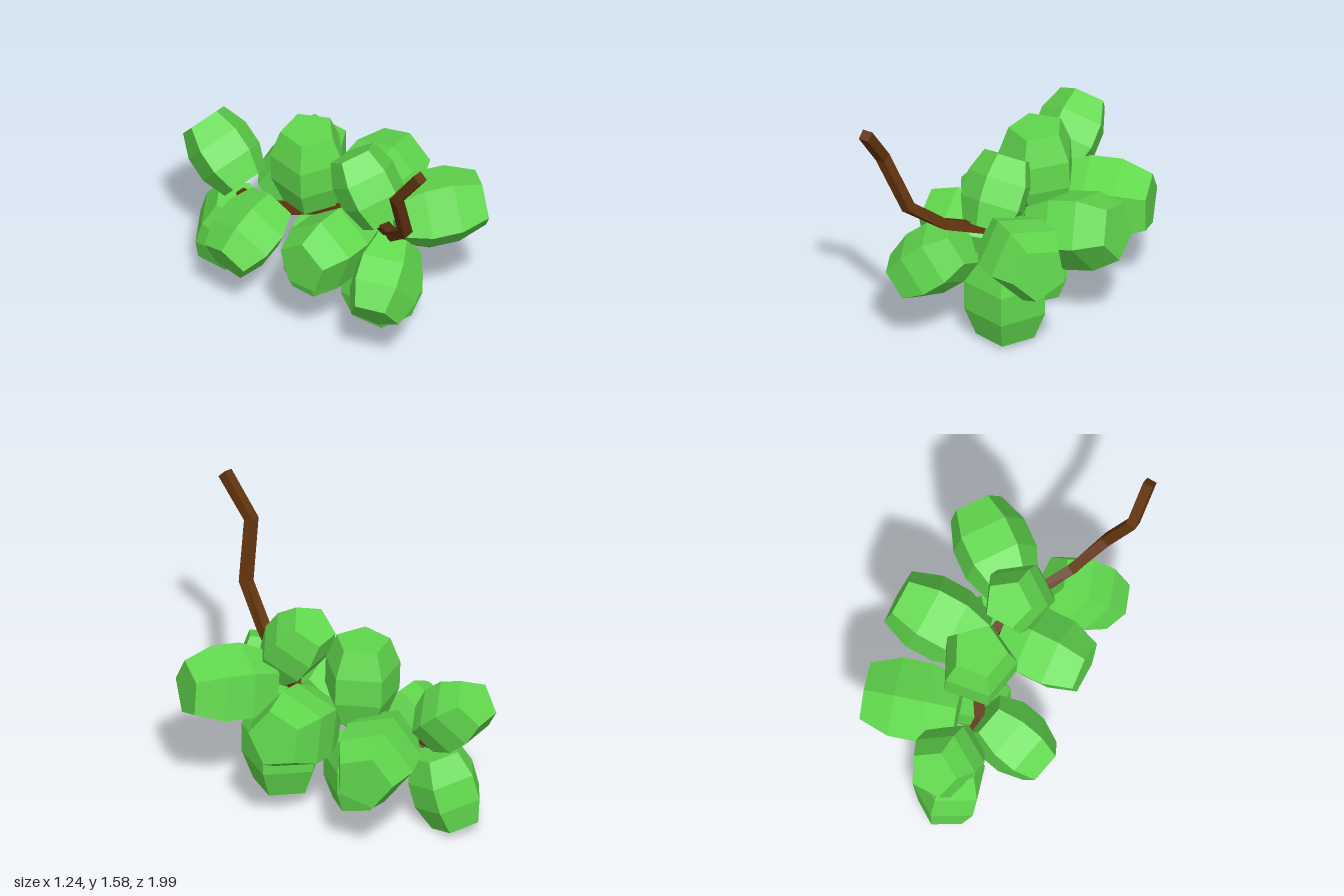
import * as THREE from 'three';

const leafGreen = new THREE.MeshStandardMaterial({ color: 0x61d84d, flatShading: true });
leafGreen.name = 'leafGreen';
const barkBrown = new THREE.MeshStandardMaterial({ color: 0x62340e, flatShading: true });
barkBrown.name = 'barkBrown';

const UP = new THREE.Vector3(0, 1, 0);

// Five-sided barrel with flat ends: centre, axis, spin in degrees, radius, length
function makePod(center, axis, spin, r, len) {
  const profile = [[0, -0.5], [0.72, -0.5], [1, -0.17], [1, 0.17], [0.72, 0.5], [0, 0.5]]
    .map(([a, b]) => new THREE.Vector2(a * r, b * len));
  const geo = new THREE.LatheGeometry(profile, 5);
  geo.rotateY(THREE.MathUtils.degToRad(spin));
  const pod = new THREE.Mesh(geo, leafGreen);
  pod.position.set(...center);
  pod.quaternion.setFromUnitVectors(UP, new THREE.Vector3(...axis).normalize());
  return pod;
}

// Angular branch: one ring of corners at each bend, closed at both ends
function makeBranch(points, r, sides) {
  const pts = points.map((p) => new THREE.Vector3(...p));
  const pos = [];
  const idx = [];
  pts.forEach((p, i) => {
    const before = pts[Math.max(i - 1, 0)];
    const after = pts[Math.min(i + 1, pts.length - 1)];
    const dir = after.clone().sub(before).normalize();
    const side = new THREE.Vector3(1, 0, 0).addScaledVector(dir, -dir.x).normalize();
    const other = dir.clone().cross(side);
    for (let k = 0; k < sides; k++) {
      const a = ((k + 0.5) / sides) * Math.PI * 2;
      const v = p.clone().addScaledVector(side, r * Math.cos(a)).addScaledVector(other, r * Math.sin(a));
      pos.push(v.x, v.y, v.z);
      if (i === 0) continue;
      const n = (k + 1) % sides;
      const lo = (i - 1) * sides;
      const hi = i * sides;
      idx.push(lo + k, lo + n, hi + n, lo + k, hi + n, hi + k);
    }
  });
  const last = (pts.length - 1) * sides;
  for (let k = 1; k < sides - 1; k++) {
    idx.push(0, k + 1, k, last, last + k, last + k + 1);
  }
  const geo = new THREE.BufferGeometry();
  geo.setAttribute('position', new THREE.Float32BufferAttribute(pos, 3));
  geo.setIndex(idx);
  geo.computeVertexNormals();
  return new THREE.Mesh(geo, barkBrown);
}

export function createModel() {
  const model = new THREE.Group();
  model.name = 'podCluster';

  const branch = makeBranch([
    [-0.455, 1.56, 0.97], [-0.45, 1.32, 0.79], [-0.315, 1.0, 0.735], [-0.2, 0.82, 0.54],
    [-0.03, 0.7, 0.28], [0.03, 0.61, 0.05], [-0.02, 0.55, -0.2], [-0.15, 0.52, -0.4], [-0.155, 0.5, -0.64],
  ], 0.042, 4);
  branch.name = 'branch';
  model.add(branch);

  // name, centre, axis, spin, radius, length
  const pods = [
    ['frontHangingPod', [0.035, 0.295, 0.25], [0, 1, 0], 23, 0.24, 0.53],
    ['middleHangingPod', [-0.02, 0.24, -0.195], [0, 1, 0], 90, 0.185, 0.42],
    ['backHangingPod', [-0.145, 0.245, -0.725], [0, 0.95, 0.31], 180, 0.205, 0.44],
    ['backUpperPod', [-0.145, 0.735, -0.765], [0, 0.67, -0.74], 0, 0.2, 0.42],
    ['frontTopPod', [-0.04, 0.905, 0.22], [0, 0.82, -0.57], 0, 0.195, 0.42],
    ['middleTopPod', [-0.035, 0.85, -0.225], [-0.05, 1, 0], 10, 0.22, 0.48],
    ['rightFrontPod', [-0.275, 0.55, 0.545], [-0.74, -0.6, 0.28], 0, 0.205, 0.44],
    ['rightMiddlePod', [-0.265, 0.57, 0.125], [-1, 0, 0.05], 20, 0.22, 0.5],
    ['rightBackPod', [-0.36, 0.47, -0.39], [-0.87, -0.47, -0.05], 0, 0.205, 0.43],
    ['leftFrontPod', [0.265, 0.715, 0.47], [0.8, 0.1, 0.57], 44, 0.23, 0.5],
    ['leftMiddlePod', [0.325, 0.64, -0.03], [0.95, 0.23, -0.07], 5, 0.235, 0.52],
    ['leftBackPod', [0.23, 0.56, -0.5], [0.95, 0, -0.31], 54, 0.235, 0.53],
  ];
  for (const [name, ...spec] of pods) {
    const pod = makePod(...spec);
    pod.name = name;
    model.add(pod);
  }
  return model;
}
